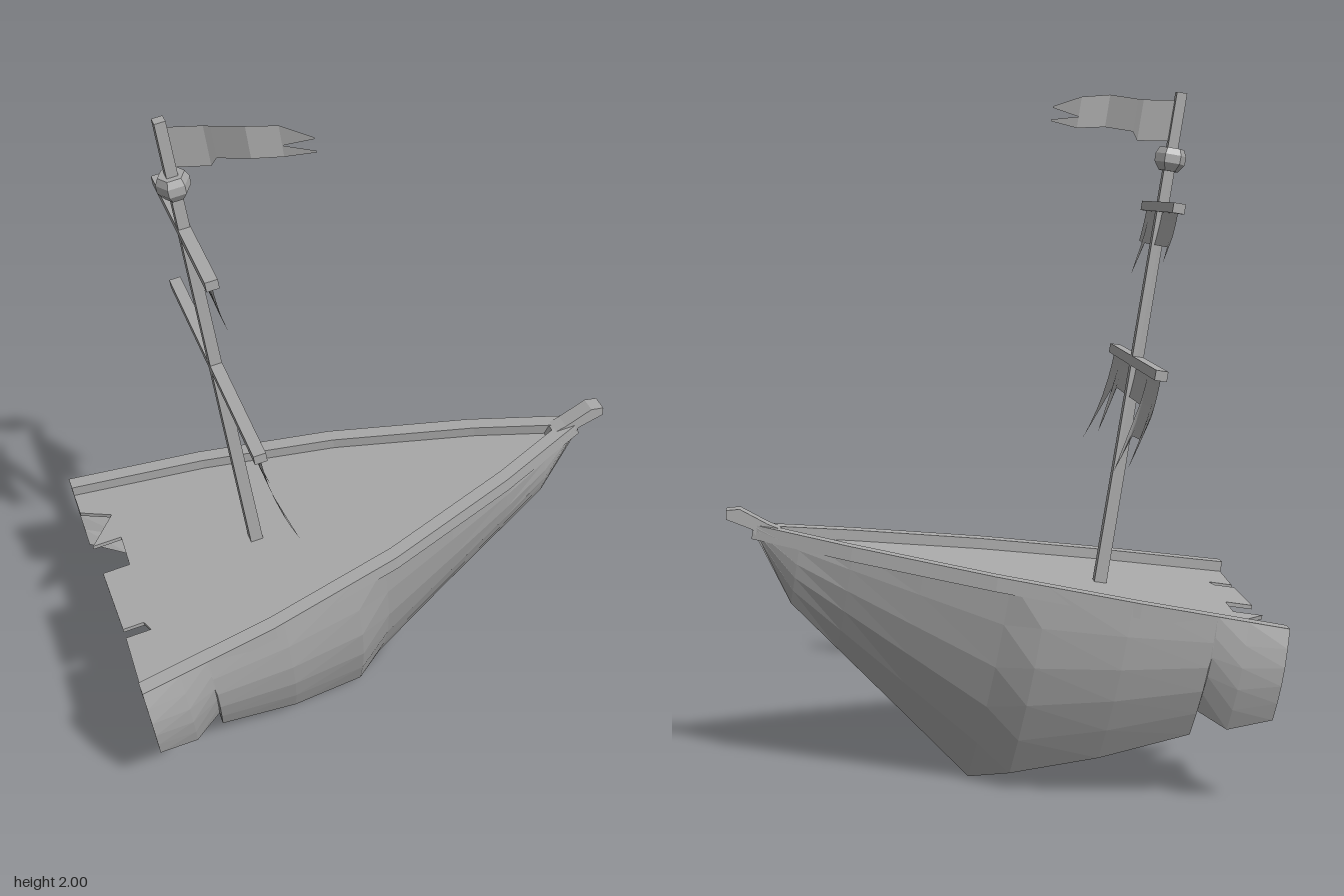
import * as THREE from 'three';

const grey = new THREE.MeshStandardMaterial({ color: 0xaaaaaa, flatShading: true, side: THREE.DoubleSide });
grey.name = 'weathered grey';

// Ship space: w = sideways, y = up from the rail, l = forward from the broken stern
const v = (w, y, l) => [w, y, -l];

function add(parent, name, geometry) {
  const mesh = new THREE.Mesh(geometry, grey);
  mesh.name = name;
  parent.add(mesh);
  return mesh;
}

// Joins rows of points into a surface; closed rows become a capped solid
function loft(rows, closed) {
  const n = rows[0].length, pos = rows.flat(2), idx = [];
  for (let i = 0; i < rows.length - 1; i++) {
    for (let j = 0; j < (closed ? n : n - 1); j++) {
      const k = (j + 1) % n, a = i * n + j, b = i * n + k, c = a + n, d = b + n;
      idx.push(a, b, c, b, d, c);
    }
  }
  if (closed) {
    for (const base of [0, (rows.length - 1) * n]) {
      for (let j = 0; j < n / 2 - 1; j++) {
        const a = base + j, b = a + 1, c = base + n - 1 - j, d = c - 1;
        if (base) idx.push(a, b, c, b, d, c);
        else idx.push(a, c, b, b, c, d);
      }
    }
  }
  const g = new THREE.BufferGeometry();
  g.setAttribute('position', new THREE.Float32BufferAttribute(pos, 3));
  g.setIndex(idx);
  g.computeVertexNormals();
  return g;
}

// Half width of the rail along the ship
const beam = [[0, 0.47], [0.405, 0.4], [0.8, 0.3], [1.205, 0.15], [1.49, 0.02]];
function halfWidth(l) {
  let i = 0;
  while (i < beam.length - 2 && l > beam[i + 1][0]) i++;
  const [l0, w0] = beam[i], [l1, w1] = beam[i + 1];
  return w0 + (w1 - w0) * (l - l0) / (l1 - l0);
}

const extrude = (pts, depth) => new THREE.ExtrudeGeometry(
  new THREE.Shape(pts.map(p => new THREE.Vector2(...p))), { depth, bevelEnabled: false });

function addHull(ship) {
  // Stations: forward position, height and half width of the lower edge
  const stations = [
    [0, -0.262, 0.46], [0.112, -0.317, 0.415], [0.195, -0.285, 0.375], [0.198, -0.362, 0.35],
    [0.43, -0.486, 0.27], [0.66, -0.595, 0.163], [0.762, -0.662, 0.03], [1.0, -0.48, 0.025],
    [1.2, -0.327, 0.025], [1.352, -0.211, 0.025], [1.49, -0.012, 0.02],
  ];
  const steps = 5, thick = 0.018;
  for (const side of [-1, 1]) {
    const label = side > 0 ? 'left' : 'right';
    // Torn side planking with a slight belly
    const rows = stations.map(([l, bottom, bw]) => {
      const outer = [], inner = [];
      for (let i = 0; i <= steps; i++) {
        const t = i / steps;
        const w = THREE.MathUtils.lerp(halfWidth(l), bw, t) - 0.09 * bottom * Math.sin(Math.PI * t);
        outer.push(v(side * w, bottom * t, l));
        inner.unshift(v(side * Math.max(w - thick, 0.002), bottom * t, l));
      }
      return [...outer, ...inner];
    });
    add(ship, label + 'HullSide', loft(rows, true));

    // Rail along the top edge
    const rail = [0, 0.405, 0.8, 1.205, 1.42, 1.49].map(l => {
      const o = halfWidth(l), i = Math.max(o - 0.045, 0);
      return [v(side * o, 0.002, l), v(side * o, -0.04, l), v(side * i, -0.04, l), v(side * i, 0.002, l)];
    });
    add(ship, label + 'Rail', loft(rail, true));
  }

  // Stem post ending in a short bowsprit
  const stem = extrude([
    [0.762, -0.662], [1.352, -0.211], [1.49, -0.012], [1.569, 0.007], [1.573, 0.033],
    [1.535, 0.042], [1.45, 0.01], [1.41, 0], [1.31, -0.2], [0.73, -0.64],
  ], 0.05);
  stem.rotateY(Math.PI / 2).translate(-0.025, 0, 0);
  add(ship, 'stemPost', stem);

  // Deck with a splintered stern edge
  const torn = [
    [-0.34, 0], [-0.287, 0.088], [-0.18, 0.004], [-0.18, 0.092], [-0.057, 0.088], [-0.057, 0.006],
    [0.185, 0.008], [0.185, 0.07], [0.22, 0.083], [0.22, 0.008],
  ];
  const edge = beam.map(([l, w]) => [Math.max(w - 0.015, 0.004), l]);
  const mirrored = edge.map(([w, l]) => [-w, l]).reverse();
  const deck = extrude([...torn, ...edge, ...mirrored], 0.012);
  deck.rotateX(-Math.PI / 2).translate(0, -0.042, 0);
  add(ship, 'deck', deck);
}

// Yard with a ragged sail; columns give top w, bottom w and drop
function addYard(parent, name, y, length, columns) {
  const rig = new THREE.Group();
  rig.name = name;
  rig.position.y = y;
  parent.add(rig);
  add(rig, 'yard', new THREE.BoxGeometry(length, 0.028, 0.034));
  const rows = columns.map(([top, bottom, drop]) => {
    const row = [];
    for (let i = 0; i <= 6; i++) {
      const t = i / 6, d = drop * t;
      row.push(v(top + (bottom - top) * t, -d, 0.6 * d * d));
    }
    return row;
  });
  add(rig, 'tornSail', loft(rows, false));
}

function addRigging(ship) {
  const rigging = new THREE.Group();
  rigging.name = 'rigging';
  rigging.position.set(0, 0, -0.463);
  ship.add(rigging);

  // Square tapering mast
  const mast = new THREE.CylinderGeometry(0.021, 0.026, 1.45, 4);
  mast.rotateY(Math.PI / 4).translate(0, 0.69, 0);
  add(rigging, 'mast', mast);

  // Lookout collar
  const profile = [[0, 1.19], [0.028, 1.19], [0.045, 1.213], [0.045, 1.237], [0.036, 1.256], [0, 1.256]];
  add(rigging, 'lookout', new THREE.LatheGeometry(profile.map(p => new THREE.Vector2(...p)), 6));

  addYard(rigging, 'lowerYard', 0.633, 0.835, [
    [-0.415, -0.415, 0.115], [-0.385, -0.385, 0.265], [-0.365, -0.365, 0.185], [-0.26, -0.26, 0.19],
    [-0.235, -0.235, 0.3], [-0.215, -0.212, 0.105], [0, 0, 0.105], [0.215, 0.222, 0.105],
    [0.25, 0.25, 0.25], [0.3, 0.3, 0.115], [0.365, 0.37, 0.185], [0.415, 0.43, 0.3],
  ]);
  addYard(rigging, 'upperYard', 1.085, 0.53, [
    [-0.26, -0.26, 0.08], [-0.235, -0.235, 0.155], [-0.222, -0.222, 0.11], [0.15, 0.15, 0.11],
    [0.19, 0.19, 0.21], [0.2, 0.2, 0.11], [0.26, 0.26, 0.105],
  ]);

  // Swallow-tailed pennant: forward, sideways, top, middle, bottom
  const cloth = [
    [0.0, 0, 1.394, 1.335, 1.276], [0.1, 0.027, 1.38, 1.325, 1.262], [0.115, 0.038, 1.38, 1.325, 1.286],
    [0.19, 0.09, 1.382, 1.325, 1.288], [0.27, 0.101, 1.363, 1.305, 1.272],
  ];
  const upper = cloth.map(([l, w, a, b]) => [v(w, a, l), v(w, b, l)]);
  const lower = cloth.map(([l, w, , b, c]) => [v(w, b, l), v(w, c, l)]);
  upper.push([v(0.139, 1.325, 0.344), v(0.139, 1.32, 0.344)]);
  lower.push([v(0.139, 1.286, 0.344), v(0.139, 1.281, 0.344)]);
  add(rigging, 'pennantUpper', loft(upper, false));
  add(rigging, 'pennantLower', loft(lower, false));
}

export function createModel() {
  const model = new THREE.Group();
  model.name = 'shipwreck';
  // The wreck is turned and pitched bow-up
  const ship = new THREE.Group();
  ship.name = 'ship';
  ship.position.set(-0.195, 0.53, 0.555);
  ship.rotation.set(THREE.MathUtils.degToRad(9.3), -Math.PI / 6, 0, 'YXZ');
  model.add(ship);
  addHull(ship);
  addRigging(ship);
  return model;
}
